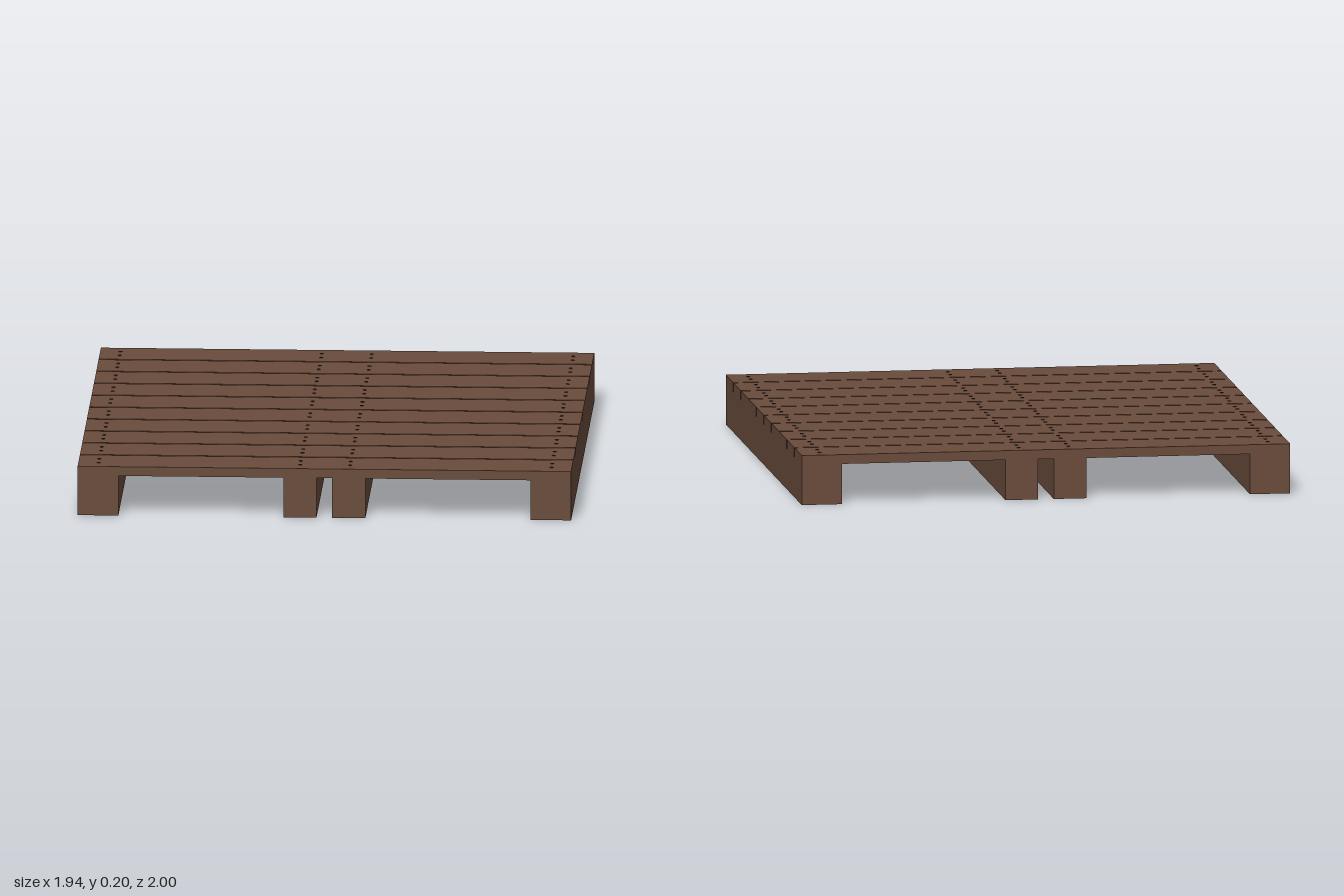
import * as THREE from 'three';

export function createModel() {
  const model = new THREE.Group();
  model.name = 'woodenPlatform';

  const wood = new THREE.MeshStandardMaterial({ color: 0x694b3b });
  wood.name = 'brownWood';
  const iron = new THREE.MeshStandardMaterial({ color: 0x3a2b24 });
  iron.name = 'darkNail';

  const add = (name, geometry, material, x, y, z) => {
    const mesh = new THREE.Mesh(geometry, material);
    mesh.name = name;
    mesh.position.set(x, y, z);
    model.add(mesh);
  };

  const height = 0.197, beamTop = 0.16, halfWidth = 0.97;

  // Four beams running front to back: two wide outer ones, two narrow inner ones
  const outerBeam = new THREE.BoxGeometry(0.16, beamTop, 2);
  const innerBeam = new THREE.BoxGeometry(0.13, beamTop, 2);
  for (const side of [-1, 1]) {
    add('outerBeam', outerBeam, wood, side * 0.89, beamTop / 2, 0);
    add('innerBeam', innerBeam, wood, side * 0.096, beamTop / 2, 0);
  }

  // Ten deck planks with narrow gaps, each nailed twice to every beam
  const count = 10, gap = 0.009;
  const width = (2 - gap * (count - 1)) / count;
  const plank = new THREE.BoxGeometry(halfWidth * 2, height - beamTop, width);
  const nail = new THREE.CylinderGeometry(0.007, 0.007, 0.004, 8);
  for (let i = 0; i < count; i++) {
    const z = -1 + width / 2 + i * (width + gap);
    add('deckPlank', plank, wood, 0, (height + beamTop) / 2, z);
    for (const x of [-0.89, -0.098, 0.098, 0.89]) {
      for (const dz of [-0.032, 0.032]) add('nail', nail, iron, x, height, z + dz);
    }
  }

  return model;
}
